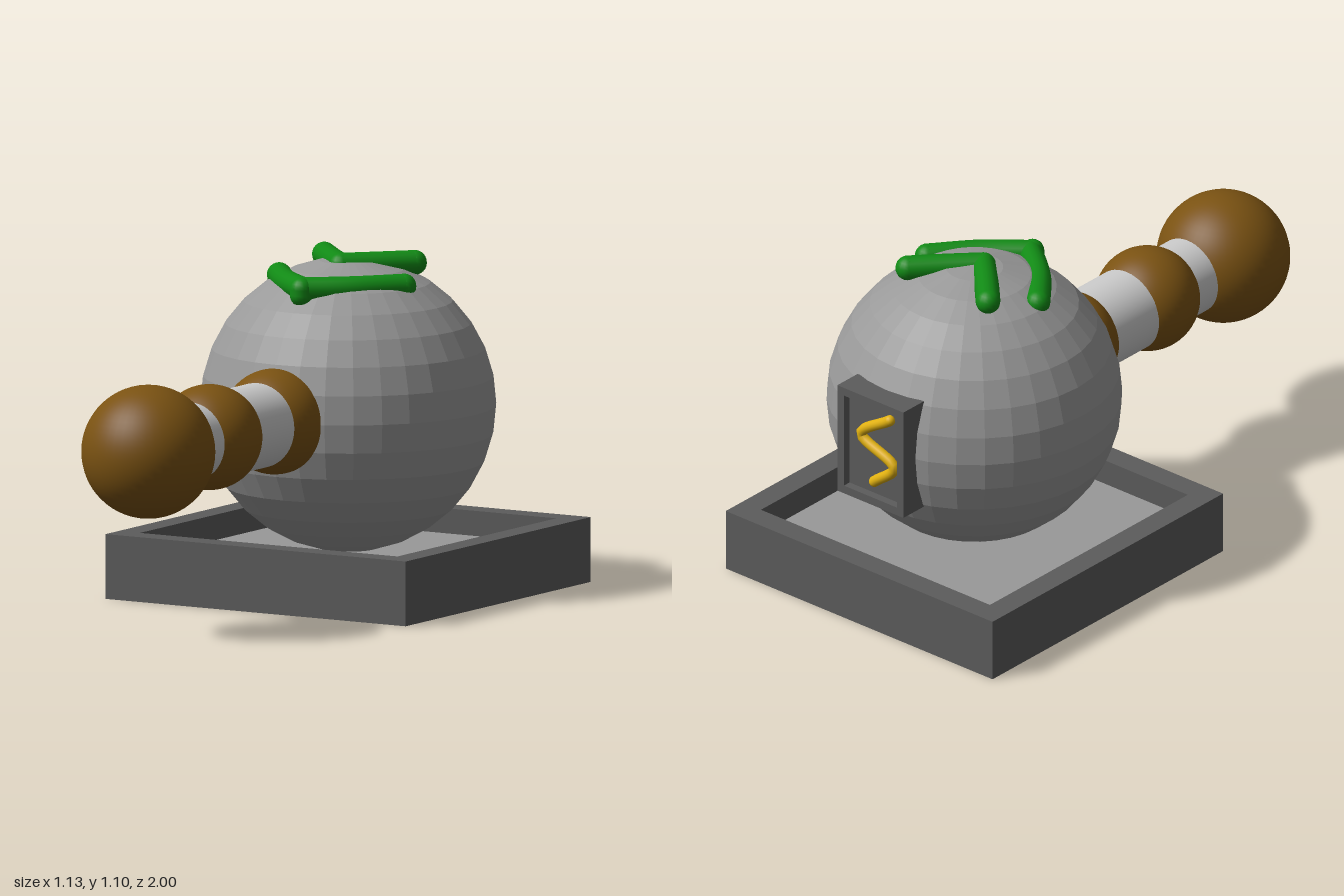
import * as THREE from 'three';

const CENTER_Z = -0.435; // shared centre of tray and globe
const AXIS_Y = 0.605; // height of globe centre and arm

const paint = (color, flatShading = false) => new THREE.MeshStandardMaterial({ color, flatShading });
const darkGrey = paint(0x5c5c5c);
const midGrey = paint(0x999999);
const globeGrey = paint(0x999999, true);
const lightGrey = paint(0xcccccc);
const brown = paint(0x7a5212);
const green = paint(0x118a15);
const yellow = paint(0xe0b010);

export function createModel() {
  const model = new THREE.Group();

  const add = (name, geometry, material, x = 0, y = 0, z = 0, parent = model) => {
    const mesh = new THREE.Mesh(geometry, material);
    mesh.name = name;
    mesh.position.set(x, y, z);
    parent.add(mesh);
    return mesh;
  };

  // Rectangular ring in the XY plane, extruded along +z
  const ring = (w, h, border, depth) => {
    const rect = (a, b, Type) => new Type([[-a, -b], [a, -b], [a, b], [-a, b]]
      .map(([x, y]) => new THREE.Vector2(x, y)));
    const shape = rect(w / 2, h / 2, THREE.Shape);
    shape.holes.push(rect(w / 2 - border, h / 2 - border, THREE.Path));
    return new THREE.ExtrudeGeometry(shape, { depth, bevelEnabled: false });
  };

  // Round rod through points, with ball ends
  const rod = (name, points, radius, material, parent) => {
    const path = points.map((p) => new THREE.Vector3(...p));
    const curve = new THREE.CatmullRomCurve3(path);
    add(name, new THREE.TubeGeometry(curve, 24, radius, 16), material, 0, 0, 0, parent);
    for (const p of [path[0], path[path.length - 1]]) {
      add(name + 'End', new THREE.SphereGeometry(radius, 16, 12), material, p.x, p.y, p.z, parent);
    }
  };

  // Tray: open frame with a loose floor panel
  add('trayFrame', ring(1.13, 1.13, 0.08, 0.21), darkGrey, 0, 0, CENTER_Z).rotation.x = -Math.PI / 2;
  add('trayFloor', new THREE.BoxGeometry(0.955, 0.08, 0.955), midGrey, 0, 0.09, CENTER_Z);

  // Faceted globe
  add('globe', new THREE.SphereGeometry(0.475, 32, 16), globeGrey, 0, AXIS_Y, CENTER_Z);

  // Arm: three balls joined by two tubes
  for (const [name, r, z] of [['rootBall', 0.17, 0.015], ['middleBall', 0.17, 0.412], ['endBall', 0.215, 0.785]]) {
    add(name, new THREE.SphereGeometry(r, 48, 32), brown, 0, AXIS_Y, z);
  }
  for (const [name, r, z, length] of [['innerTube', 0.137, 0.21, 0.34], ['outerTube', 0.127, 0.58, 0.28]]) {
    add(name, new THREE.CylinderGeometry(r, r, length, 48), lightGrey, 0, AXIS_Y, z).rotation.x = Math.PI / 2;
  }

  // Chevrons sunk into the top of the globe
  const chevron = (name, y, points) => {
    const group = new THREE.Group();
    group.name = name;
    for (const side of [-1, 1]) {
      rod('chevronBar', points.map(([x, z]) => [side * x, y, z]), 0.04, green, group);
    }
    model.add(group);
    return group;
  };
  const front = chevron('frontChevron', 1.01, [[0.235, -0.395], [0.125, -0.265], [0, -0.16]]);
  add('chevronTip', new THREE.CapsuleGeometry(0.038, 0.018, 6, 16), green, 0, 1.003, -0.15, front);
  chevron('rearChevron', 1.06, [[0.17, -0.565], [0.085, -0.475], [0, -0.39]]);

  // Framed plaque on the back
  add('plaqueFrame', ring(0.28, 0.385, 0.028, 0.1), darkGrey, 0, AXIS_Y + 0.002, -0.945);
  add('plaquePanel', new THREE.BoxGeometry(0.225, 0.33, 0.07), darkGrey, 0, AXIS_Y + 0.002, -0.882);

  // Zigzag ornament
  const zigzag = new THREE.Group();
  zigzag.name = 'zigzag';
  const bends = [[-0.065, 0.735], [0.055, 0.645], [-0.085, 0.57], [0.0, 0.49]];
  rod('zigzagRod', bends.map(([x, y]) => [x, y, -0.925]), 0.018, yellow, zigzag);
  model.add(zigzag);

  return model;
}
